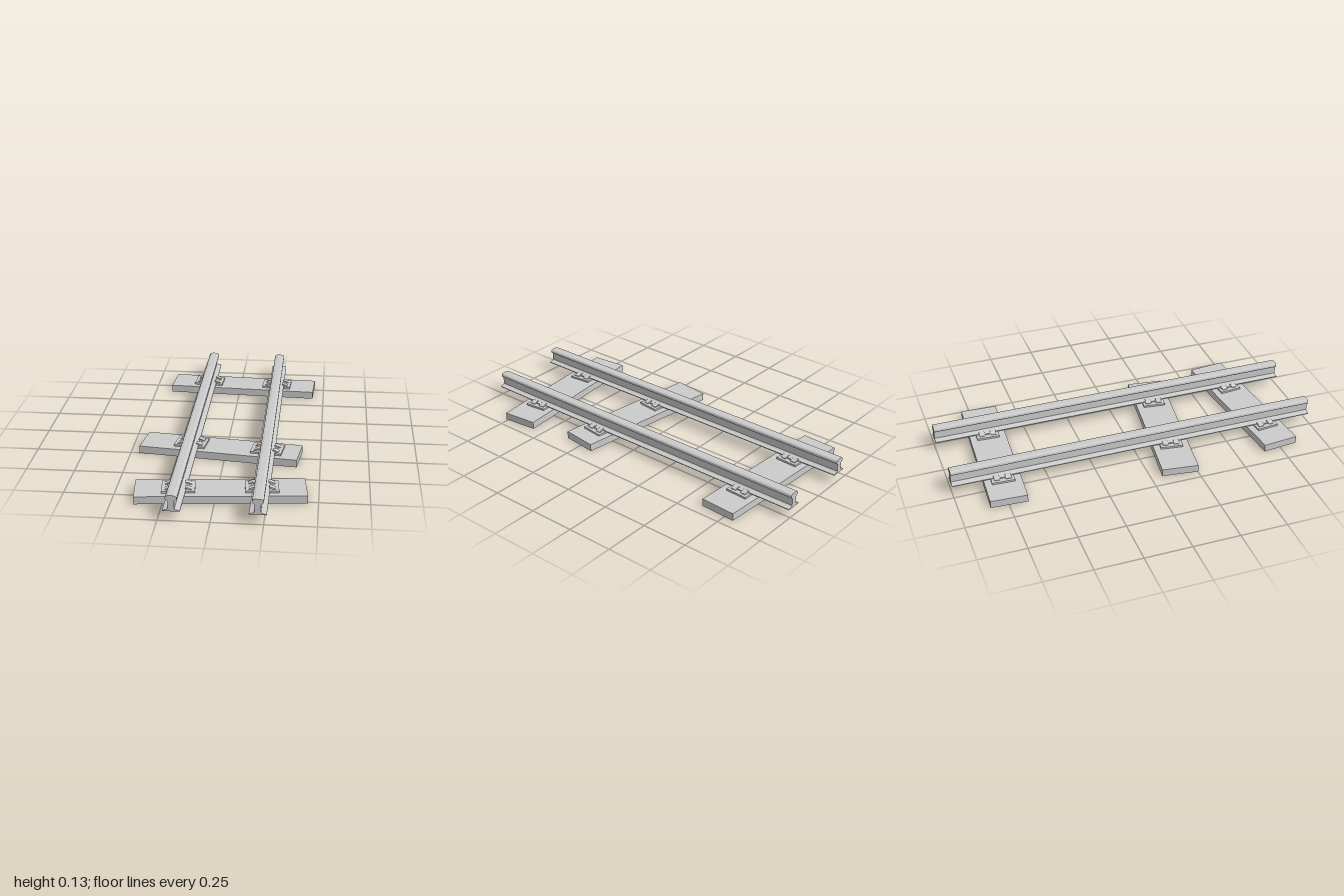
import * as THREE from 'three';

const material = new THREE.MeshStandardMaterial({ color: 0xcccccc });
const RAIL_X = [-0.183, 0.222];

// Closed shape from [x, y] points
const shapeOf = pts => new THREE.Shape(pts.map(([x, y]) => new THREE.Vector2(x, y)));

// Extrude along z, centred on z = 0
function extrude(pts, depth) {
  return new THREE.ExtrudeGeometry(shapeOf(pts), { depth, bevelEnabled: false }).translate(0, 0, -depth / 2);
}

function addMesh(parent, name, geometry, x = 0, y = 0, z = 0) {
  const mesh = new THREE.Mesh(geometry, material);
  mesh.name = name;
  mesh.position.set(x, y, z);
  parent.add(mesh);
  return mesh;
}

// Right half of the rail section: foot, web, rounded head
const railHalf = [
  [0.042, 0.05], [0.042, 0.054], [0.022, 0.059], [0.016, 0.064], [0.0155, 0.102], [0.018, 0.106],
  [0.026, 0.110], [0.028, 0.114], [0.027, 0.123], [0.023, 0.128], [0.013, 0.131],
];
const railProfile = [...railHalf, ...railHalf.map(([x, y]) => [-x, y]).reverse()];

// Sloping spring clip that grips the foot of the rail
const clipProfile = [
  [0.034, 0.056], [0.046, 0.053], [0.050, 0.049], [0.066, 0.049],
  [0.066, 0.053], [0.054, 0.058], [0.044, 0.062], [0.034, 0.061],
];

// Plate with two clips on either side of the rail
function createFastening() {
  const group = new THREE.Group();
  group.name = 'railFastening';
  addMesh(group, 'basePlate', new THREE.BoxGeometry(0.164, 0.01, 0.12), 0, 0.045, 0);
  for (const side of [0, Math.PI]) {
    const half = new THREE.Group();
    half.name = 'clipPair';
    half.rotation.y = side;
    for (const z of [-0.03, 0.03]) {
      addMesh(half, 'clip', extrude(clipProfile, 0.03), 0, 0, z);
    }
    addMesh(half, 'clipBar', new THREE.BoxGeometry(0.01, 0.006, 0.04), 0.049, 0.053, 0);
    group.add(half);
  }
  return group;
}

export function createModel() {
  const model = new THREE.Group();
  model.name = 'railwayTrack';

  // Two long rails
  for (const x of RAIL_X) addMesh(model, 'rail', extrude(railProfile, 2), x);

  // Unevenly laid sleepers: centre x, centre z, turn about y
  const sleepers = [[0.023, -0.727, -0.05], [-0.025, 0.209, -0.127], [0.021, 0.709, 0.101]];
  for (const [cx, cz, turn] of sleepers) {
    const sleeper = addMesh(model, 'sleeper', new THREE.BoxGeometry(0.84, 0.04, 0.193), cx, 0.02, cz);
    sleeper.rotation.y = turn;

    // Fastenings where the rails cross the sleeper
    for (const x of RAIL_X) {
      const fastening = createFastening();
      fastening.position.set(x, 0, cz - (x - cx) * Math.tan(turn));
      fastening.rotation.y = turn;
      model.add(fastening);
    }
  }
  return model;
}
